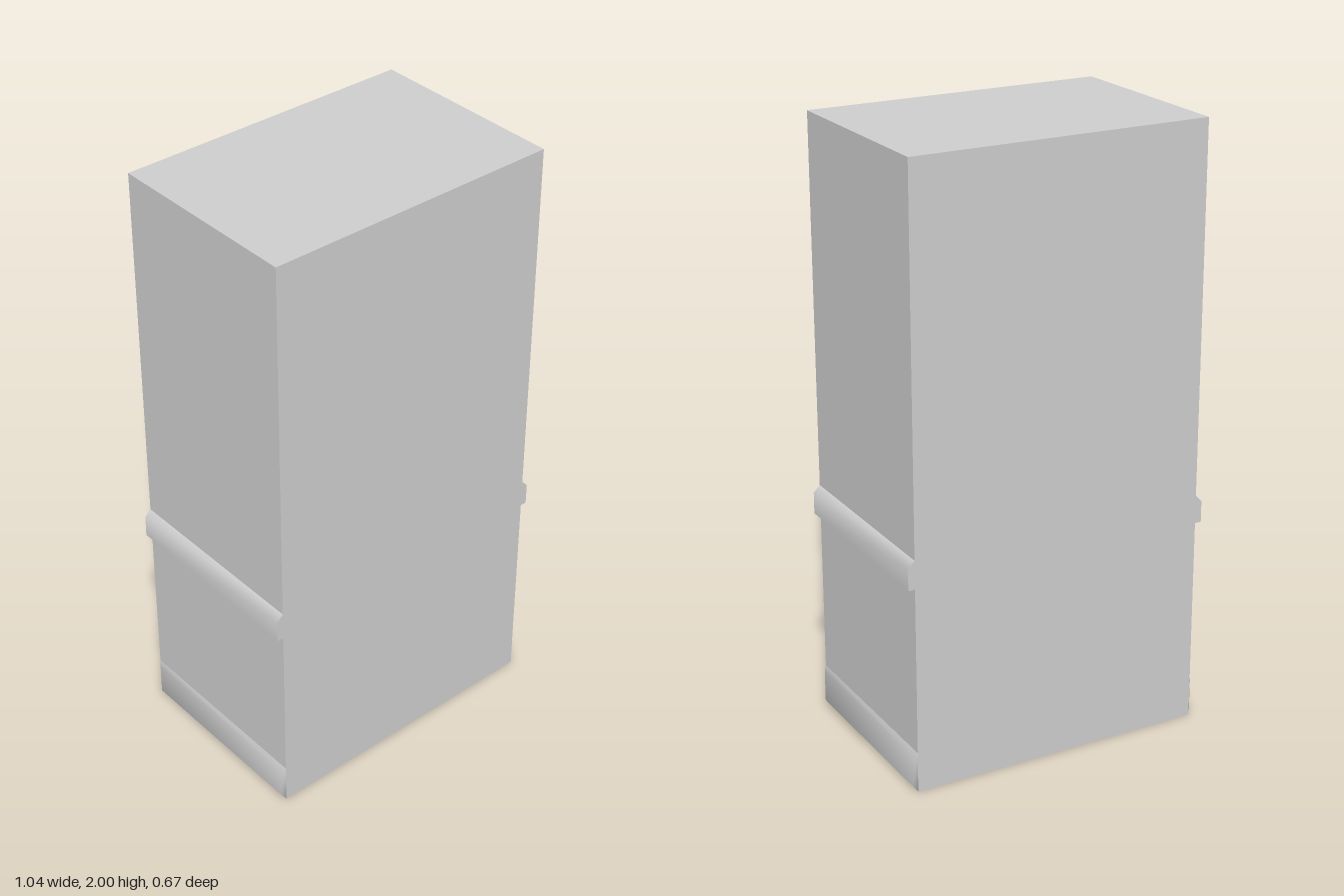
import * as THREE from 'three';
import { toCreasedNormals } from 'three/addons/utils/BufferGeometryUtils.js';

const DEPTH = 0.666;

export function createModel() {
  const model = new THREE.Group();
  model.name = 'wallSection';
  const grey = new THREE.MeshStandardMaterial({ color: 0xcccccc });
  grey.name = 'plain grey';

  function add(name, geometry, parent) {
    const mesh = new THREE.Mesh(geometry, grey);
    mesh.name = name;
    parent.add(mesh);
  }

  // Wall block
  add('wall', new THREE.BoxGeometry(1, 2, DEPTH).translate(0, 1, 0), model);

  // Rail with a chamfered top edge, run along the wall's depth
  const profile = new THREE.Shape([
    [0.499, 0.688], [0.522, 0.688], [0.522, 0.76], [0.5, 0.782], [0.499, 0.782],
  ].map(([x, y]) => new THREE.Vector2(x, y)));
  const rail = toCreasedNormals(
    new THREE.ExtrudeGeometry(profile, { depth: DEPTH, bevelEnabled: false })
      .translate(0, 0, -DEPTH / 2), 1);

  // Baseboard: a thin box whose outer face is inset on all four edges
  const board = new THREE.BoxGeometry(0.011, 0.135, DEPTH);
  const p = board.attributes.position;
  const inset = 0.014;
  for (let i = 0; i < p.count; i++) {
    if (p.getX(i) < 0) continue;
    p.setY(i, p.getY(i) - Math.sign(p.getY(i)) * inset);
    p.setZ(i, p.getZ(i) - Math.sign(p.getZ(i)) * inset);
  }
  board.translate(0.5055, 0.0675, 0);
  const baseboard = toCreasedNormals(board, 1);

  // Same trim on both sides
  for (const side of ['left', 'right']) {
    const trim = new THREE.Group();
    trim.name = side + 'Trim';
    trim.rotation.y = side === 'left' ? 0 : Math.PI;
    add(side + 'Rail', rail, trim);
    add(side + 'Baseboard', baseboard, trim);
    model.add(trim);
  }
  return model;
}
